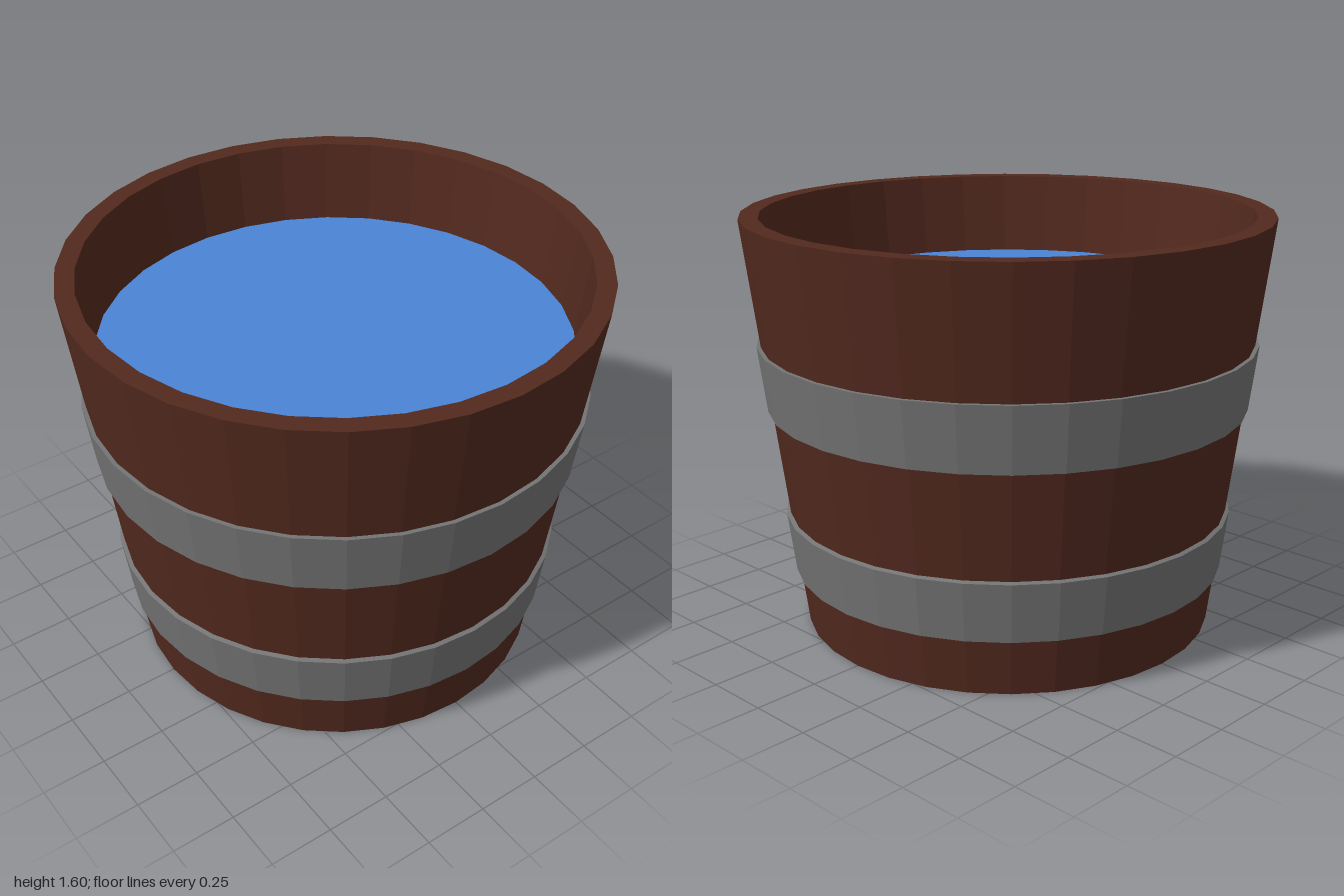
import * as THREE from 'three';

const SIDES = 32;
const BOTTOM_R = 0.796, TOP_R = 1, HEIGHT = 1.595;

// Outer radius of the tapered wall at height y
const wallRadius = y => BOTTOM_R + (TOP_R - BOTTOM_R) * y / HEIGHT;

const material = color => new THREE.MeshStandardMaterial({ color, flatShading: true });

function lathe(name, points, mat) {
  const profile = points.map(([r, y]) => new THREE.Vector2(r, y));
  const mesh = new THREE.Mesh(new THREE.LatheGeometry(profile, SIDES), mat);
  mesh.name = name;
  return mesh;
}

// Closed metal ring that follows the taper of the wall
function hoop(name, y0, y1, lip, mat) {
  const out = 0.016, sink = 0.01;
  return lathe(name, [
    [wallRadius(y0) - sink, y0],
    [wallRadius(y0) + out, y0],
    [wallRadius(y1) + out, y1],
    [wallRadius(y1) - sink, y1 + lip],
    [wallRadius(y0) - sink, y0],
  ], mat);
}

export function createModel() {
  const group = new THREE.Group();
  group.name = 'bucket';
  const wood = material(0x52291e);
  const metal = material(0x747474);

  // Wooden tub: underside, outer wall, rim, inner wall, floor
  const thickness = 0.072, floorY = 0.08;
  group.add(lathe('tub', [
    [0, 0],
    [BOTTOM_R, 0],
    [TOP_R, HEIGHT],
    [TOP_R - thickness, HEIGHT],
    [wallRadius(floorY) - thickness, floorY],
    [0, floorY],
  ], wood));

  // Two hoops
  group.add(hoop('lowerHoop', 0.22, 0.45, 0.01, metal));
  group.add(hoop('upperHoop', 0.865, 1.115, 0, metal));

  // Water surface
  const waterY = 1.28;
  const water = new THREE.Mesh(
    new THREE.CircleGeometry(wallRadius(waterY) - thickness, SIDES).rotateX(-Math.PI / 2),
    material(0x4b84d6)
  );
  water.position.y = waterY;
  water.name = 'water';
  group.add(water);

  return group;
}
